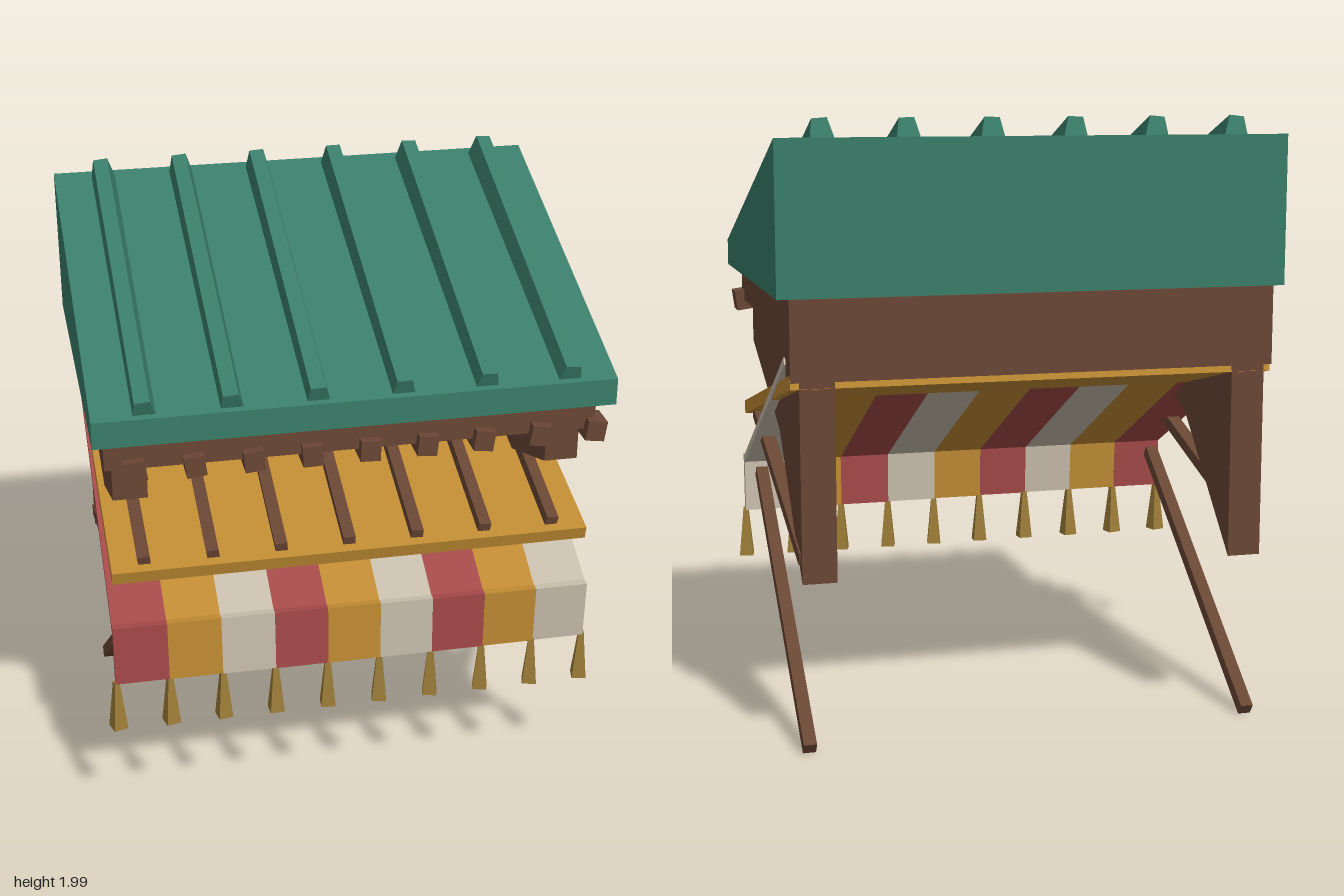
import * as THREE from 'three';

const mat = (name, color) => {
  const m = new THREE.MeshStandardMaterial({ color });
  m.name = name;
  return m;
};

export function createModel() {
  const model = new THREE.Group();
  model.name = 'shopAwning';

  const green = mat('roofGreen', 0x3a7d6a);
  const brown = mat('woodBrown', 0x694634);
  const gold = mat('ochre', 0xbf8a33);
  const red = mat('clothRed', 0xa34848);
  const cream = mat('clothCream', 0xc6bcaa);
  const brass = mat('tasselBrass', 0x9c7c38);

  // small repeatable wobble for the hand-built look
  const wobble = (i, amount) => Math.sin(i * 12.9898 + 1.7) * amount;

  const add = (name, geometry, material) => {
    const mesh = new THREE.Mesh(geometry, material);
    mesh.name = name;
    model.add(mesh);
    return mesh;
  };

  const box = (name, material, w, h, d, x, y, z) => {
    const mesh = add(name, new THREE.BoxGeometry(w, h, d), material);
    mesh.position.set(x, y, z);
    return mesh;
  };

  // side profile of [z, y] points, extruded along x
  const slab = (name, material, profile, width, x = 0) => {
    const shape = new THREE.Shape(profile.map(([z, y]) => new THREE.Vector2(z, y)));
    const g = new THREE.ExtrudeGeometry(shape, { depth: width, bevelEnabled: false });
    g.translate(0, 0, -width / 2).rotateY(-Math.PI / 2);
    const mesh = add(name, g, material);
    mesh.position.x = x;
    return mesh;
  };

  // sloping beam from a back [z, y] to a front [z, y]; top narrows the upper face
  const beam = (name, material, x, back, front, w, h, top = 1) => {
    const dz = front[0] - back[0], dy = front[1] - back[1];
    const g = new THREE.BoxGeometry(w, h, Math.hypot(dz, dy));
    const p = g.attributes.position;
    for (let i = 0; i < p.count; i++) if (p.getY(i) > 0) p.setX(i, p.getX(i) * top);
    g.computeVertexNormals();
    const mesh = add(name, g, material);
    mesh.position.set(x, (back[1] + front[1]) / 2, (back[0] + front[0]) / 2);
    mesh.rotation.x = -Math.atan2(dy, dz);
    return mesh;
  };

  // roof wedge and its ribs
  slab('roof', green, [[-0.58, 1.457], [0.58, 1.457], [0.58, 1.545], [-0.58, 1.94]], 1.645);
  for (let i = 0; i < 6; i++) {
    const rib = beam('roofRib', green, -0.662 + i * 0.267, [-0.542, 1.962], [0.567, 1.563], 0.08, 0.075, 0.6);
    rib.rotation.z = wobble(i, 0.12);
  }

  // timber frame under the roof
  box('roofFrame', brown, 1.57, 0.115, 1.08, 0, 1.3985, -0.04);
  box('backWall', brown, 1.57, 0.255, 0.09, 0, 1.3285, -0.535);
  for (let i = 0; i < 9; i++) {
    const end = box('rafterEnd', brown, 0.064, 0.068, 0.09, -0.69 + i * 0.184, 1.343, 0.487);
    end.rotation.z = wobble(i, 0.15);
  }

  // side brackets with their struts and the long lower poles
  for (const side of [-1, 1]) {
    slab('bracket', brown,
      [[-0.58, 0.57], [-0.16, 0.985], [0.43, 1.2], [0.43, 1.36], [-0.58, 1.36]], 0.11, side * 0.703);
    beam('bracketStrut', brown, side * 0.742, [-0.555, 0.645], [0.43, 0.94], 0.045, 0.04);
    beam('lowerPole', brown, side * 0.738, [-0.545, 0.025], [0.435, 0.725], 0.042, 0.042);
  }

  // sloping board with battens
  beam('boardCanopy', gold, 0.003, [-0.575, 1.203], [0.49, 0.95], 1.565, 0.045);
  for (let i = 0; i < 7; i++) {
    const batten = beam('batten', brown, -0.675 + i * 0.226, [-0.42, 1.205], [0.465, 0.987], 0.04, 0.045);
    batten.rotation.z = wobble(i, 0.15);
    batten.rotation.y = wobble(i + 3, 0.025);
  }

  // striped cloth and hanging valance
  const stripes = [red, gold, cream];
  const step = 1.58 / 9;
  for (let i = 0; i < 9; i++) {
    const x = -0.79 + step * (i + 0.5);
    beam('clothStripe', stripes[i % 3], x, [-0.49, 1.258], [0.505, 0.757], step, 0.025);
    const flap = box('valance', stripes[i % 3], step, 0.205, 0.028, x, 0.676 + wobble(i, 0.004), 0.508);
    flap.rotation.x = wobble(i + 5, 0.06);
  }

  // tassels flaring downwards at the stripe seams
  for (let i = 0; i < 10; i++) {
    const g = new THREE.CylinderGeometry(0.012, 0.034, 0.175, 4).rotateY(Math.PI / 4).toNonIndexed();
    g.computeVertexNormals();
    const tassel = add('tassel', g, brass);
    tassel.position.set(-0.787 + i * 0.175, 0.49, 0.508);
    tassel.rotation.y = wobble(i, 0.3);
  }

  return model;
}
